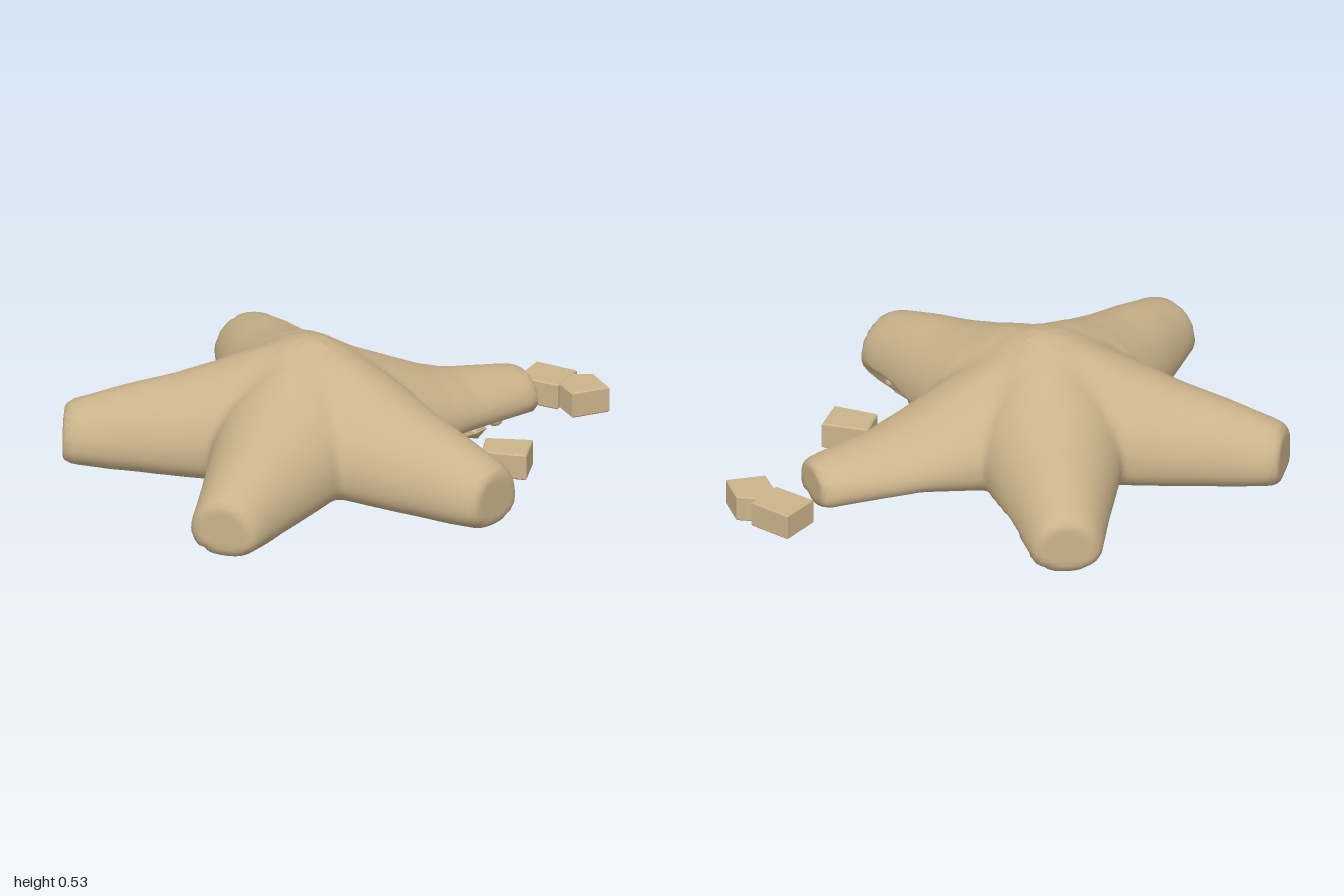
import * as THREE from 'three';

const skin = new THREE.MeshStandardMaterial({ color: 0xcbb48b });
skin.name = 'sand';

const CX = -0.04, CY = 0.14, CZ = 0.13; // middle of the star

// Profiles along an arm: [distance from middle, value]
const TOP = [[0, 0.505], [0.09, 0.505], [0.2, 0.47], [0.34, 0.41], [0.5, 0.355], [0.66, 0.315], [0.8, 0.27], [0.92, 0.235]];
const BACK_TOP = [[0, 0.505], [0.09, 0.49], [0.2, 0.435], [0.34, 0.365], [0.5, 0.285], [0.62, 0.24], [0.92, 0.19]];
const WIDTH = [[0, 0.25], [0.3, 0.265], [0.44, 0.23], [0.64, 0.18], [0.8, 0.145], [0.92, 0.122]];
const BOTTOM = [[0, 0.016], [0.5, 0.012], [0.75, 0.015], [0.92, 0.03]];
const BACK_BOTTOM = [[0, 0.016], [0.3, 0.02], [0.55, 0.05], [0.75, 0.035], [0.92, 0.025]];

function along(table, r) {
  if (r <= table[0][0]) return table[0][1];
  for (let i = 1; i < table.length; i++) {
    const [r0, v0] = table[i - 1], [r1, v1] = table[i];
    if (r <= r1) return v0 + (v1 - v0) * (r - r0) / (r1 - r0);
  }
  return table[table.length - 1][1];
}

function smoothMin(a, b, k) {
  const h = Math.max(k - Math.abs(a - b), 0) / k;
  return Math.min(a, b) - h * h * k * 0.25;
}

// groove: side of the arm carrying a torn opening near the ground
const arms = [0.865, 0.885, 0.895, 0.89, 0.915].map((length, i) => ({
  length,
  angle: i * Math.PI * 0.4,
  top: i === 4 ? BACK_TOP : TOP,
  bottom: i === 4 ? BACK_BOTTOM : BOTTOM,
  groove: i === 0 ? -1 : i === 3 ? 1 : 0,
}));

function armField(arm, x, y, z) {
  const c = Math.cos(arm.angle), s = Math.sin(arm.angle);
  const r = x * c + z * s, q = z * c - x * s, d = Math.abs(r);
  const w = along(WIDTH, d), top = along(arm.top, d), low = along(arm.bottom, d);
  const mid = low + (top - low) * 0.38;
  const up = y > mid;
  const v = Math.abs(y - mid) / (up ? top - mid : mid - low);
  // sharper ridge and flatter belly near the middle, round at the tip
  const t = Math.min(d / 0.8, 1);
  const p = up ? 1.75 + 0.25 * t : 3.4 - 1.2 * t;
  const section = (Math.pow(Math.pow(Math.abs(q) / w, p) + Math.pow(v, p), 1 / p) - 1) * 0.2;
  const tip = -smoothMin(-section, arm.length - r, 0.05);
  return Math.max(tip, -0.04 - r);
}

function grooveField(arm, x, y, z) {
  const c = Math.cos(arm.angle), s = Math.sin(arm.angle);
  const r = x * c + z * s, q = (z * c - x * s) * arm.groove;
  return (Math.hypot((r - 0.58) / 0.28, (y - 0.07) / 0.042, (q - 0.175) / 0.065) - 1) * 0.05;
}

function bodyField(x, y, z) {
  let f = 1;
  for (const arm of arms) f = smoothMin(f, armField(arm, x, y, z), 0.025);
  for (const arm of arms) if (arm.groove) f = Math.max(f, -grooveField(arm, x, y, z));
  return f;
}

// Distance from the middle to the skin in one direction
function reach(dx, dy, dz) {
  let a = 0, b = 1.3;
  for (let i = 0; i < 22; i++) {
    const m = (a + b) / 2;
    if (bodyField(dx * m, CY + dy * m, dz * m) < 0) a = m; else b = m;
  }
  return a;
}

// One closed skin, with the grid gathered towards the arms
function starGeometry() {
  const perArm = 44, cols = perArm * 5, rows = 64;
  const pos = [], index = [];
  const add = (theta, phi) => {
    const d = [Math.cos(phi) * Math.cos(theta), Math.sin(phi), Math.cos(phi) * Math.sin(theta)];
    const t = reach(...d);
    pos.push(CX + d[0] * t, CY + d[1] * t, CZ + d[2] * t);
  };
  add(0, -Math.PI / 2);
  for (let j = 1; j < rows; j++) {
    const v = (j / rows) * 2 - 1;
    const phi = Math.sign(v) * Math.pow(Math.abs(v), 1.7) * Math.PI / 2;
    for (let i = 0; i < cols; i++) {
      const u = ((i % perArm) / perArm) * 2 - 1;
      const local = Math.sign(u) * Math.pow(Math.abs(u), 1.4) * Math.PI / 5;
      add(Math.floor(i / perArm) * Math.PI * 0.4 + local, phi);
    }
  }
  add(0, Math.PI / 2);
  const last = pos.length / 3 - 1;
  const at = (i, j) => 1 + (j - 1) * cols + (i % cols);
  for (let i = 0; i < cols; i++) {
    index.push(0, at(i, 1), at(i + 1, 1));
    for (let j = 1; j < rows - 1; j++) {
      const a = at(i, j), b = at(i + 1, j), c = at(i, j + 1), d = at(i + 1, j + 1);
      index.push(a, c, b, b, c, d);
    }
    index.push(at(i, rows - 1), last, at(i + 1, rows - 1));
  }
  const g = new THREE.BufferGeometry();
  g.setAttribute('position', new THREE.Float32BufferAttribute(pos, 3));
  g.setIndex(index);
  g.computeVertexNormals();
  return g;
}

// Block of stone standing on its [x, z] footprint
function rockGeometry(footprint, height) {
  const bevel = 0.005;
  const shape = new THREE.Shape(footprint.map(([x, z]) => new THREE.Vector2(x, -z)));
  const g = new THREE.ExtrudeGeometry(shape, {
    depth: height - 2 * bevel, bevelEnabled: true, bevelThickness: bevel,
    bevelSize: bevel, bevelOffset: -bevel, bevelSegments: 1,
  });
  g.rotateX(-Math.PI / 2);
  g.translate(0, bevel, 0);
  return g;
}

export function createModel() {
  const model = new THREE.Group();
  model.name = 'starfish';
  const add = (name, geometry) => {
    const mesh = new THREE.Mesh(geometry, skin);
    mesh.name = name;
    model.add(mesh);
    return mesh;
  };

  add('starBody', starGeometry());

  // Stones lying around the back arm
  add('backRock', rockGeometry([[0.13, -0.955], [0.295, -0.985], [0.325, -0.84], [0.16, -0.805]], 0.1));
  add('farRock', rockGeometry([[0.3, -0.95], [0.36, -1], [0.48, -0.945], [0.41, -0.815], [0.32, -0.855]], 0.1));
  add('sideRock', rockGeometry([[0.41, -0.32], [0.555, -0.415], [0.625, -0.29], [0.475, -0.215]], 0.1));

  // Pebbles under the back arm: x, y, z, radius
  [[0.23, 0.037, -0.46, 0.055], [0.19, 0.032, -0.56, 0.03], [0.24, 0.03, -0.58, 0.03],
    [0.18, 0.03, -0.62, 0.026], [0.22, 0.028, -0.64, 0.026]].forEach(([x, y, z, r], i) => {
    const pebble = add('pebble', new THREE.IcosahedronGeometry(r, i ? 1 : 0));
    pebble.position.set(x, y, z);
    pebble.scale.y = 0.75;
    pebble.rotation.y = i;
  });

  // Small feet inside the torn openings
  for (const arm of arms.filter((a) => a.groove)) {
    for (const r of [0.45, 0.57, 0.7]) {
      const q = arm.groove * 0.12, c = Math.cos(arm.angle), s = Math.sin(arm.angle);
      const foot = add('tubeFoot', new THREE.SphereGeometry(0.018, 10, 8));
      foot.position.set(CX + r * c - q * s, 0.07, CZ + r * s + q * c);
    }
  }
  return model;
}
